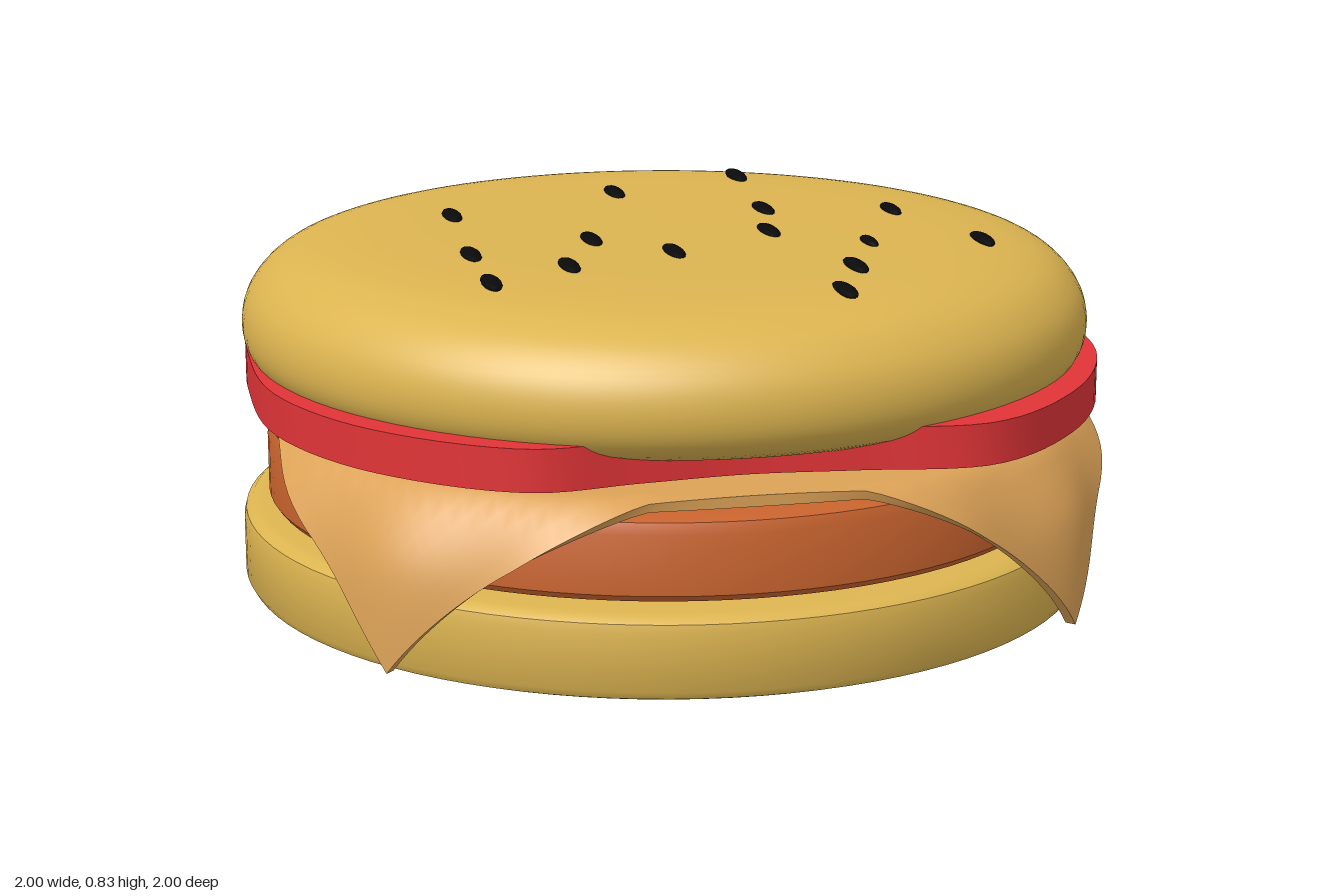
import * as THREE from 'three';
import { toCreasedNormals } from 'three/addons/utils/BufferGeometryUtils.js';

const flat = (name, color) => {
  const m = new THREE.MeshStandardMaterial({ color });
  m.name = name;
  return m;
};

export function createModel() {
  const group = new THREE.Group();
  const bun = flat('golden bun', 0xdcb450);
  const meat = flat('brown patty', 0xc8632e);
  const cheeseColor = flat('orange cheese', 0xdca257);
  const red = flat('tomato red', 0xe03437);
  const black = flat('seed black', 0x0a0a0a);

  const add = (name, geometry, material) => {
    const mesh = new THREE.Mesh(geometry, material);
    mesh.name = name;
    group.add(mesh);
    return mesh;
  };
  // Round layer from [radius, height] pairs, bottom to top
  const lathe = (pts) => toCreasedNormals(
    new THREE.LatheGeometry(pts.map(([r, y]) => new THREE.Vector2(r, y)), 96), 0.6);

  // Bottom bun and patty
  add('bottomBun', lathe([[0, 0], [0.97, 0], [0.99, 0.008], [1, 0.025], [1, 0.155],
    [0.995, 0.175], [0.98, 0.187], [0.955, 0.19], [0, 0.19]]), bun);
  add('patty', lathe([[0, 0.2], [0.91, 0.2], [0.93, 0.206], [0.94, 0.22], [0.94, 0.355],
    [0.93, 0.38], [0.9, 0.39], [0, 0.39]]), meat);

  // Cheese: a square slice whose corners drape over the round rim
  const slice = new THREE.BoxGeometry(1.88, 0.025, 1.88, 56, 1, 56);
  const p = slice.attributes.position;
  for (let i = 0; i < p.count; i++) {
    const x = p.getX(i), z = p.getZ(i), s = p.getY(i) + 0.0125;
    const rho = Math.hypot(x, z), angle = Math.atan2(z, x);
    const over = Math.max(0, rho - 0.94);
    const fold = Math.min(1, over / 0.14);
    let r = Math.min(rho, 0.94) + 0.13 * Math.tanh(over / 0.13);
    r += fold * (s - 0.0125 + 0.012 * Math.cos(16 * angle));
    const y = 0.413 + s * (1 - fold) - Math.max(0, rho - 0.97) * 1.04;
    p.setXYZ(i, r * Math.cos(angle), y, r * Math.sin(angle));
  }
  slice.computeVertexNormals();
  add('cheese', slice, cheeseColor);

  // Tomato: wavy slab, wider at the diagonals
  const outline = new THREE.CatmullRomCurve3([
    [0, 0.86], [0.24, 0.88], [0.53, 0.9], [0.78, 0.69], [0.95, 0.36], [0.98, 0],
    [0.93, -0.36], [0.76, -0.68], [0.5, -0.92], [0.08, -0.89], [-0.35, -0.97],
    [-0.74, -0.69], [-0.94, -0.36], [-0.98, 0], [-0.95, 0.36], [-0.78, 0.68],
    [-0.48, 0.9], [-0.24, 0.88],
  ].map(([x, z]) => new THREE.Vector3(x, z, 0)), true);
  const shape = new THREE.Shape(outline.getPoints(120).slice(0, -1)
    .map((v) => new THREE.Vector2(v.x, v.y)));
  const slab = new THREE.ExtrudeGeometry(shape, { depth: 0.095, bevelEnabled: false });
  slab.rotateX(Math.PI / 2).translate(0, 0.556, 0);
  add('tomato', toCreasedNormals(slab, 0.6), red);

  // Top bun: soft dome with a nearly flat crown
  const dome = new THREE.SplineCurve([[0.9, 0.508], [0.955, 0.535], [0.985, 0.58], [0.99, 0.64],
    [0.97, 0.7], [0.92, 0.755], [0.85, 0.788], [0.75, 0.806], [0.6, 0.813], [0.3, 0.815], [0, 0.816],
  ].map(([r, y]) => new THREE.Vector2(r, y))).getPoints(40);
  add('topBun', lathe([[0, 0.505], ...dome.map((v) => [Math.max(0, v.x), v.y])]), bun);

  // Seeds: [x, z, half length]
  const seed = new THREE.SphereGeometry(1, 14, 8);
  [[0.315, -0.6, 0.075], [-0.03, -0.45, 0.075], [-0.465, -0.255, 0.075], [0.283, -0.18, 0.075],
    [0.583, -0.11, 0.066], [0.235, 0.07, 0.075], [-0.19, 0.08, 0.075], [-0.487, 0.18, 0.075],
    [-0.03, 0.245, 0.075], [0.433, 0.235, 0.055], [0.706, 0.235, 0.072], [-0.29, 0.34, 0.075],
    [-0.487, 0.47, 0.075], [0.337, 0.47, 0.075], [0.257, 0.674, 0.075],
  ].forEach(([x, z, half]) => {
    const mesh = add('seed', seed, black);
    const r = Math.hypot(x, z);
    mesh.position.set(x, r > 0.7 ? 0.809 : 0.815, z);
    mesh.scale.set(half * 0.3, 0.011, half);
  });

  return group;
}
